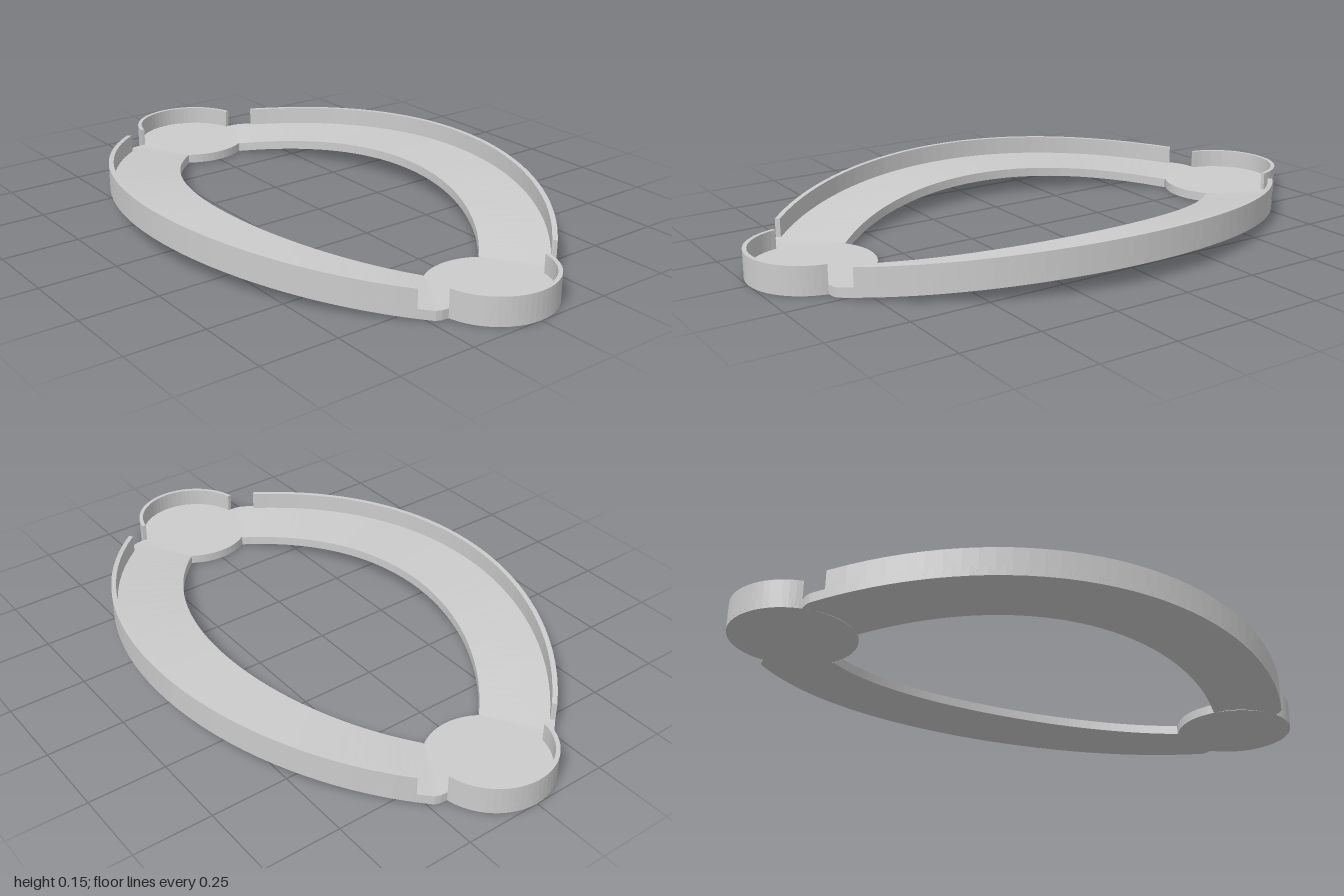
import * as THREE from 'three';

const material = new THREE.MeshStandardMaterial({ color: 0xcccccc, flatShading: true });

// Ring outline constants
const R_OUT = 1.079, X_OUT = 0.625, Z_OUT = 0.84;
const R_IN = 0.893, X_IN = 0.38, Z_IN = 0.64;
const PLATE = 0.03, WALL = 0.09, RIM = 0.016, LIFT = 0.06;
const PAD_R = 0.195, PAD_Z = 0.805;

// Joins four-cornered sections (outer low, outer high, inner high, inner low) into a solid bar
function loft(sections) {
  const pos = [];
  const quad = (a, b, c, d) => [a, b, c, a, c, d].forEach(p => pos.push(...p));
  for (let i = 0; i < sections.length - 1; i++) {
    const s = sections[i], t = sections[i + 1];
    for (let k = 0; k < 4; k++) {
      const n = (k + 1) % 4;
      quad(s[k], s[n], t[n], t[k]);
    }
  }
  quad(...[...sections[0]].reverse());
  quad(...sections[sections.length - 1]);
  const g = new THREE.BufferGeometry();
  g.setAttribute('position', new THREE.Float32BufferAttribute(pos, 3));
  g.computeVertexNormals();
  return g;
}

const section = ([xo, zo], [xi, zi], low, high) =>
  [[xo, low, zo], [xo, high, zo], [xi, high, zi], [xi, low, zi]];

const arcX = (z, R, x) => x - R + Math.sqrt(R * R - z * z);

// Outer edge: a wide arc with rounded ends
function outerPoint(s) {
  const z = Z_OUT * s;
  const k = Math.max(0, (Math.abs(z) - 0.77) / 0.07);
  const tip = 0.19 + 0.11 * Math.sqrt(Math.max(0, 1 - k * k));
  const x = arcX(z, R_OUT, X_OUT);
  return [k > 0 ? Math.min(x, tip) : x, z];
}
const innerPoint = s => [arcX(Z_IN * s, R_IN, X_IN), Z_IN * s];
const lift = s => LIFT * (1 - s * s);

// Arched flat band for one side
function bandGeometry(n = 48) {
  const list = [];
  for (let i = 0; i <= n; i++) {
    const s = Math.sin((i / n - 0.5) * Math.PI);
    list.push(section(outerPoint(s), innerPoint(s), lift(s), lift(s) + PLATE));
  }
  return loft(list);
}

// Thin upright wall along the outer edge, stopping short of the pads
function wallGeometry(n = 36) {
  const list = [], end = 0.8 / Z_OUT, cx = X_OUT - R_OUT, f = 1 - RIM / R_OUT;
  for (let i = 0; i <= n; i++) {
    const s = end * (2 * i / n - 1);
    const [x, z] = outerPoint(s);
    list.push(section([x, z], [cx + (x - cx) * f, z * f], lift(s) + 0.015, lift(s) + WALL));
  }
  return loft(list);
}

// Wall round the free half of an end pad
function padWallGeometry(n = 28) {
  const list = [], a0 = Math.asin((0.84 - PAD_Z) / PAD_R);
  for (let i = 0; i <= n; i++) {
    const a = a0 + (Math.PI - 2 * a0) * i / n;
    const at = r => [r * Math.cos(a), PAD_Z + r * Math.sin(a)];
    list.push(section(at(PAD_R), at(PAD_R - 0.013), 0.01, WALL));
  }
  return loft(list);
}

export function createModel() {
  const model = new THREE.Group();
  model.name = 'ovalFrame';
  const band = bandGeometry(), wall = wallGeometry(), padWall = padWallGeometry();
  const pad = new THREE.CylinderGeometry(PAD_R, PAD_R, PLATE, 56).translate(0, PLATE / 2, PAD_Z);

  const add = (geometry, name, turn) => {
    const mesh = new THREE.Mesh(geometry, material);
    mesh.name = name;
    mesh.rotation.y = turn;
    model.add(mesh);
  };
  // Each half is the other turned half way round
  [['left', 'front', 0], ['right', 'back', Math.PI]].forEach(([side, end, turn]) => {
    add(band, side + 'Band', turn);
    add(wall, side + 'Wall', turn);
    add(pad, end + 'Pad', turn);
    add(padWall, end + 'PadWall', turn);
  });
  return model;
}
